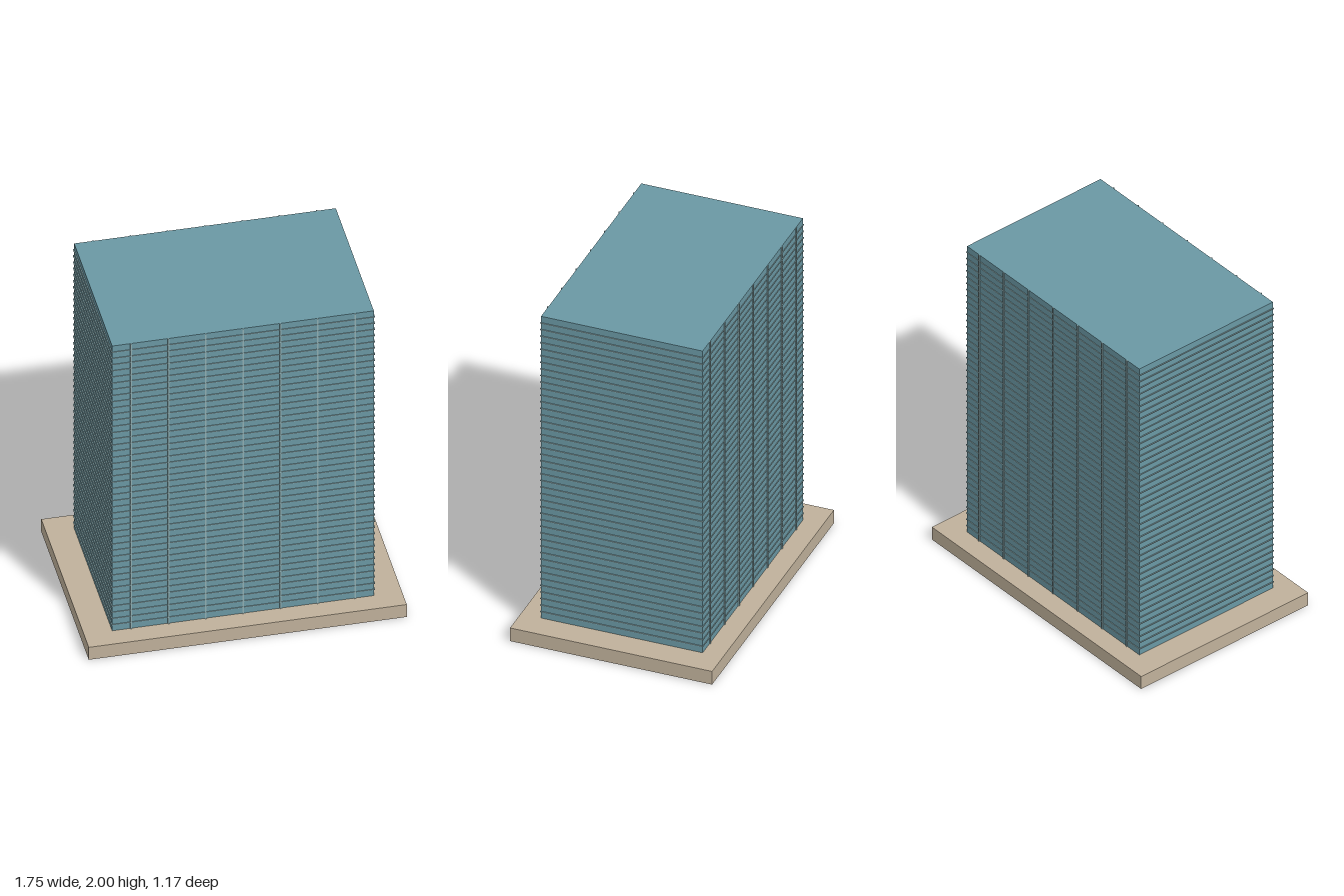
import * as THREE from 'three';

const WIDTH = 1.44, DEPTH = 0.936, HEIGHT = 2, FLOORS = 48;
const FLOOR = HEIGHT / FLOORS, PODIUM = 2 * FLOOR;

export function createModel() {
  const model = new THREE.Group();
  model.name = 'officeTower';

  const glass = new THREE.MeshStandardMaterial({ color: 0x6a98a4 });
  const stone = new THREE.MeshStandardMaterial({ color: 0xc0b19b });
  const trim = new THREE.MeshStandardMaterial({ color: 0x8faeb2 });

  function box(name, w, h, d, x, y, z, material, parent = model) {
    const mesh = new THREE.Mesh(new THREE.BoxGeometry(w, h, d), material);
    mesh.name = name;
    mesh.position.set(x, y, z);
    parent.add(mesh);
    return mesh;
  }

  // Podium and main glazed block
  box('podium', 1.75, PODIUM, 1.17, 0, PODIUM / 2, 0, stone);
  box('towerBody', WIDTH, HEIGHT, DEPTH, 0, HEIGHT / 2, 0, glass);

  // Thin floor bands wrapping the tower at every storey
  const bands = new THREE.Group();
  bands.name = 'floorBands';
  model.add(bands);
  for (let i = 3; i < FLOORS; i++) {
    box('floorBand', WIDTH + 0.012, 0.004, DEPTH + 0.008, 0, i * FLOOR, 0, trim, bands);
  }

  // Vertical fins on the front and back faces
  const fins = new THREE.Group();
  fins.name = 'verticalFins';
  model.add(fins);
  const finHeight = HEIGHT - PODIUM;
  for (const side of [1, -1]) {
    for (let i = -3; i <= 3; i++) {
      box(side > 0 ? 'frontFin' : 'backFin', 0.008, finHeight, 0.012,
        i * 0.2055, PODIUM + finHeight / 2, side * DEPTH / 2, trim, fins);
    }
  }

  return model;
}
